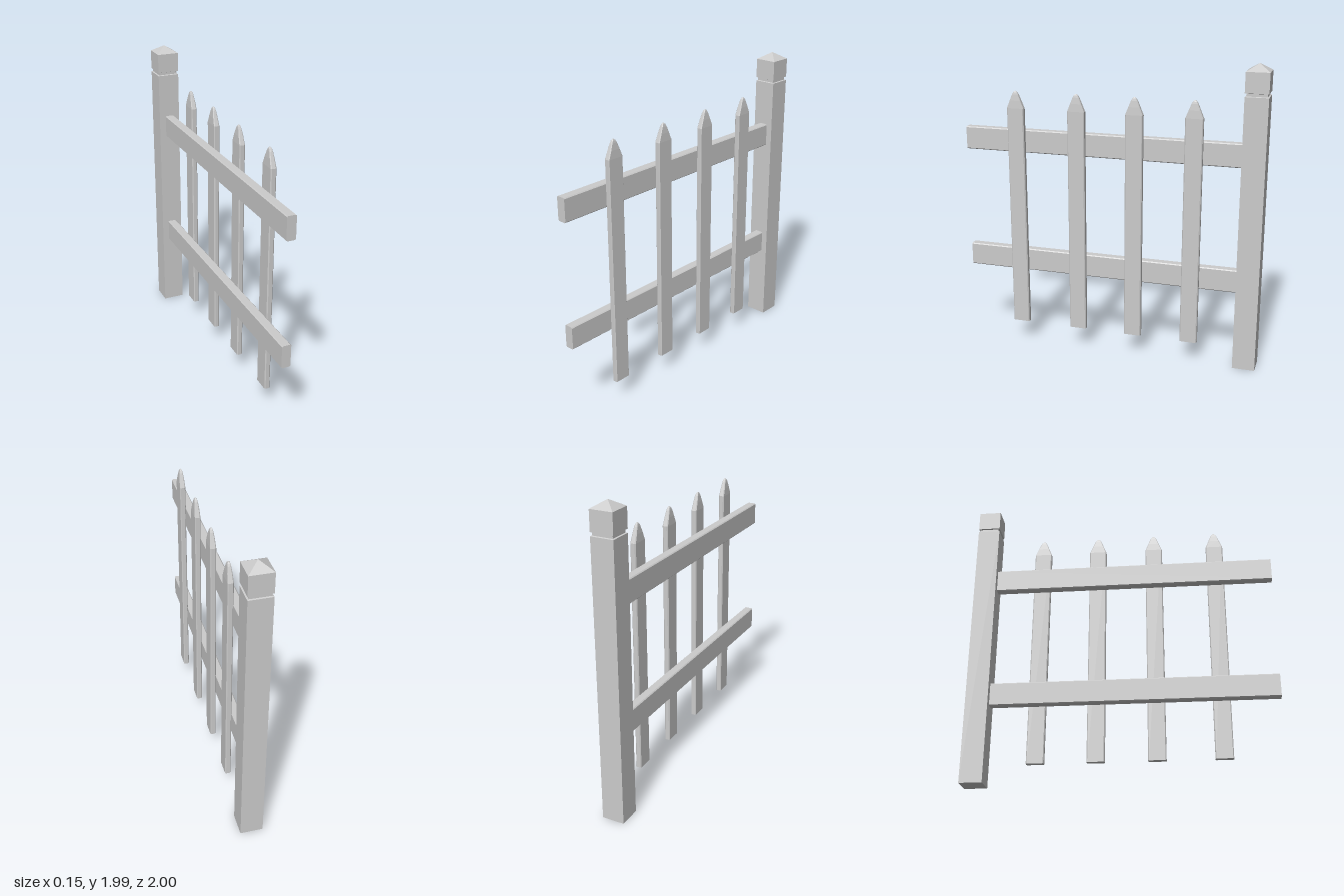
import * as THREE from 'three';

const material = new THREE.MeshStandardMaterial({ color: 0xcccccc, flatShading: true });

// Outline of a rectangle with optional cut corners, running from +x towards +z
function outline(hx, hz, c) {
  if (!c) return [[hx, hz], [-hx, hz], [-hx, -hz], [hx, -hz]];
  return [
    [hx, hz - c], [hx - c, hz], [-hx + c, hz], [-hx, hz - c],
    [-hx, -hz + c], [-hx + c, -hz], [hx - c, -hz], [hx, -hz + c],
  ];
}

// Closed solid through sections [y, halfX, halfZ, chamfer]
function loft(sections) {
  const rings = sections.map(([y, hx, hz, c]) =>
    outline(hx, hz, c).map(([x, z]) => [x, y, z]));
  const out = [];
  const tri = (a, b, c) => out.push(...a, ...b, ...c);
  const n = rings[0].length;
  for (let r = 0; r < rings.length - 1; r++) {
    const lo = rings[r], hi = rings[r + 1];
    for (let i = 0; i < n; i++) {
      const j = (i + 1) % n;
      tri(lo[i], hi[i], lo[j]);
      tri(lo[j], hi[i], hi[j]);
    }
  }
  const first = rings[0], last = rings[rings.length - 1];
  for (let i = 1; i < n - 1; i++) {
    tri(first[0], first[i], first[i + 1]);
    tri(last[0], last[i + 1], last[i]);
  }
  const geometry = new THREE.BufferGeometry();
  geometry.setAttribute('position', new THREE.Float32BufferAttribute(out, 3));
  geometry.computeVertexNormals();
  return geometry;
}

export function createModel() {
  const group = new THREE.Group();
  const add = (name, geometry, x, y, z) => {
    const mesh = new THREE.Mesh(geometry, material);
    mesh.name = name;
    mesh.position.set(x, y, z);
    group.add(mesh);
  };

  // Square post with a grooved neck and a pyramid cap
  const p = 0.073, neck = 0.064;
  add('post', loft([
    [0, p, p], [1.79, p, p], [1.793, neck, neck], [1.81, neck, neck],
    [1.813, p, p], [1.94, p, p], [1.985, 0.001, 0.001],
  ]), 0, 0, -0.927);

  // Two horizontal rails running forward from the post
  const rail = loft([[-0.86, 0.03, 0.076, 0.006], [1, 0.03, 0.076, 0.006]]);
  rail.rotateX(Math.PI / 2);
  add('lowerRail', rail, 0.002, 0.59, 0);
  add('upperRail', rail, 0.002, 1.418, 0);

  // Pickets on the left face of the rails, tapering to blunt points
  const picket = loft([
    [0.14, 0.0185, 0.057, 0.006],
    [1.64, 0.0185, 0.057, 0.006],
    [1.69, 0.0155, 0.037, 0.005],
    [1.73, 0.011, 0.021, 0.004],
    [1.744, 0.008, 0.013, 0.003],
    [1.752, 0.004, 0.005, 0.0015],
  ]);
  [0.63, 0.215, -0.17, -0.553].forEach((z, i) => add(`picket${i + 1}`, picket, 0.048, 0, z));

  return group;
}
